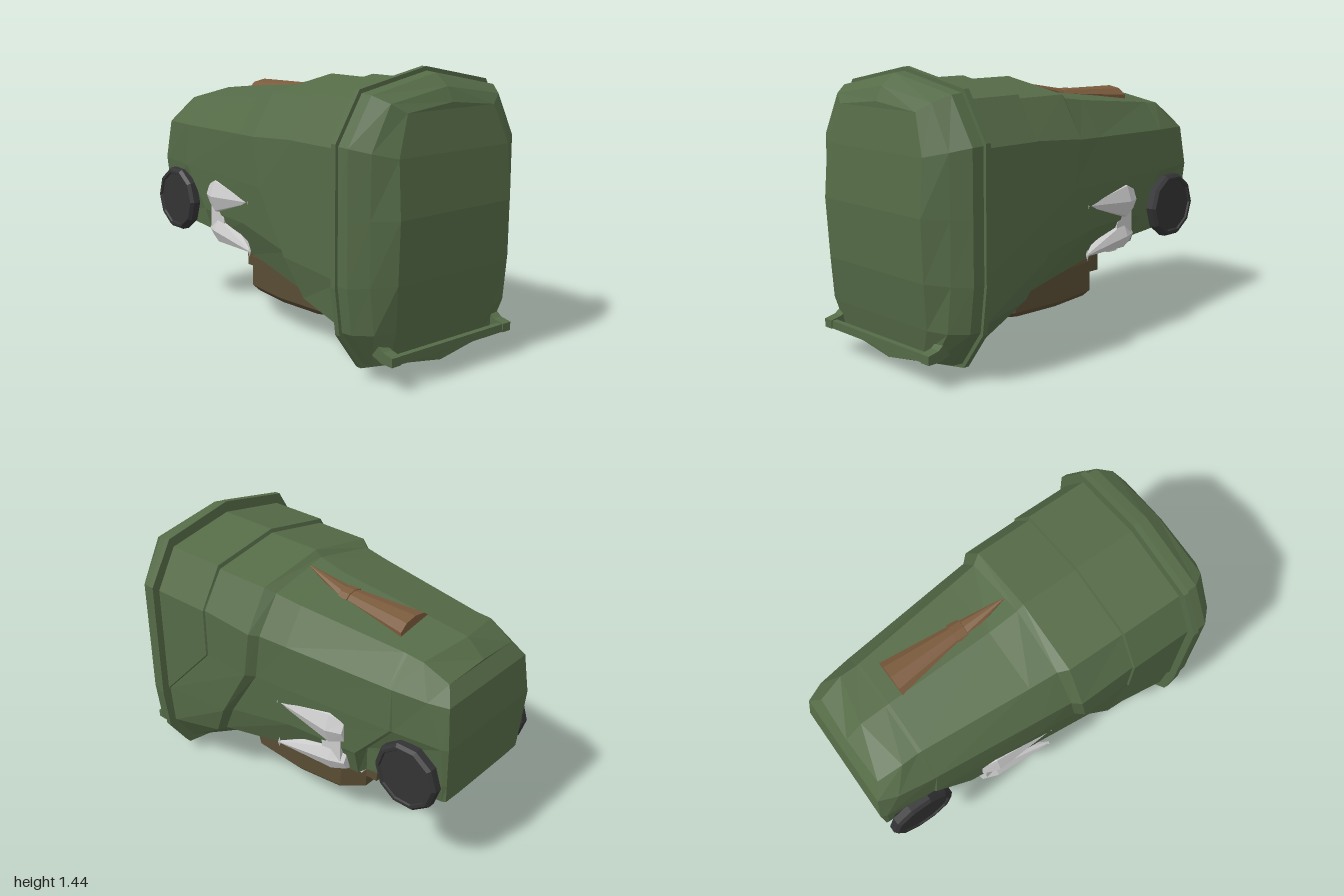
import * as THREE from 'three';

const mat = (color, side = THREE.FrontSide) =>
  new THREE.MeshStandardMaterial({ color, flatShading: true, side });
const GREEN = mat(0x556b47), DARK = mat(0x333335), BAG = mat(0x594c33);
const HORN = mat(0x7a5a3c), GREY = mat(0xcccccc), GOLD = mat(0xa8863c);

function add(parent, name, geometry, material, x = 0, y = 0, z = 0) {
  const mesh = new THREE.Mesh(geometry, material);
  mesh.name = name;
  mesh.position.set(x, y, z);
  parent.add(mesh);
  return mesh;
}

// Mirrors a half section (top centre, down the +x side, bottom centre) to a full ring
const ring = (half) => [...half, ...half.slice(1, -1).reverse().map(([x, y, z]) => [-x, y, z])];
// Flat half section from x,y pairs at one z
const flat = (z, pts) => pts.map(([x, y]) => [x, y, z]);
// Scales a flat half section about the middle of the lid
const resize = (half, s, z) => half.map(([x, y]) => [x * s, 0.72 + (y - 0.72) * s, z]);
// Oval ring, clockwise as seen from +z
const oval = (cx, cy, z, rx, ry, n = 8) => Array.from({ length: n }, (_, i) => {
  const a = (i / n) * Math.PI * 2;
  return [cx + Math.sin(a) * rx, cy + Math.cos(a) * ry, z];
});

// Skins closed rings listed from +z to -z; the ends are closed with strips across x
function loft(rings) {
  const n = rings[0].length, pos = [], idx = [];
  rings.forEach((r) => r.forEach((p) => pos.push(...p)));
  for (let k = 0; k < rings.length - 1; k++) {
    for (let i = 0; i < n; i++) {
      const j = (i + 1) % n, a = k * n, b = a + n;
      idx.push(a + i, a + j, b + i, a + j, b + j, b + i);
    }
  }
  const last = (rings.length - 1) * n;
  for (let i = 0; i < n / 2; i++) {
    const l = (n - i) % n, r2 = i + 1, l2 = n - i - 1;
    idx.push(i, l, r2, l, l2, r2);
    idx.push(last + i, last + r2, last + l, last + l, last + r2, last + l2);
  }
  const g = new THREE.BufferGeometry();
  g.setAttribute('position', new THREE.Float32BufferAttribute(pos, 3));
  g.setIndex(idx);
  const out = g.toNonIndexed();
  out.computeVertexNormals();
  return out;
}

function buildBody(group) {
  const mouth = flat(0.76, [[0, 1.38], [0.385, 1.31], [0.507, 1.1], [0.507, 0.84],
    [0.507, 0.49], [0.48, 0.27], [0.36, 0.1], [0, 0.06]]);
  // First step: collar that tapers away diagonally at the sides
  const collar = mouth.map(([x, y, z], i) => [x, y, i < 4 ? 0.415 : z - 0.005]);
  const collarIn = collar.map(([x, y, z], i) =>
    i < 5 ? [x * 0.98, y - (i < 2 ? 0.02 : 0), z - 0.005] : [x, y, z - 0.01]);
  // Second step: slanted shoulder
  const shoulder = [[0, 1.36, 0.1], [0.375, 1.29, 0.1], [0.5, 1.08, 0.1], [0.5, 0.83, 0.14],
    [0.49, 0.52, 0.33], [0.45, 0.33, 0.43], [0.3, 0.26, 0.41], [0, 0.25, 0.41]];
  const waist = [[0, 1.33, 0.065], [0.345, 1.265, 0.05], [0.462, 1.07, 0.06], [0.46, 0.82, 0.1],
    [0.455, 0.53, 0.29], [0.42, 0.35, 0.39], [0.3, 0.31, 0.37], [0, 0.3, 0.37]];
  const barrel = [[0, 1.292, -0.1], [0.33, 1.245, -0.1], [0.445, 1.065, -0.1], [0.445, 0.82, -0.1],
    [0.43, 0.6, -0.1], [0.36, 0.42, -0.1], [0.24, 0.4, -0.1], [0, 0.4, -0.1]];
  // Wheel arch edge and its recess
  const arch = [[0, 1.235, -0.68], [0.27, 1.19, -0.68], [0.38, 1.045, -0.68], [0.385, 0.82, -0.7],
    [0.395, 0.6, -0.5], [0.35, 0.45, -0.49], [0.22, 0.44, -0.49], [0, 0.44, -0.49]];
  const recess = [[0, 1.232, -0.7], [0.268, 1.187, -0.7], [0.378, 1.045, -0.7], [0.375, 0.815, -0.71],
    [0.32, 0.6, -0.52], [0.31, 0.46, -0.51], [0.2, 0.45, -0.51], [0, 0.45, -0.51]];
  const heel = [[0, 1.215, -0.84], [0.27, 1.18, -0.79], [0.35, 1.04, -0.88], [0.345, 0.82, -0.97],
    [0.32, 0.6, -0.97], [0.3, 0.49, -0.96], [0.2, 0.485, -0.96], [0, 0.485, -0.96]];
  const base = [[0, 1.13, -0.935], [0.25, 1.11, -0.925], [0.31, 1.03, -0.975], [0.33, 0.82, -1],
    [0.31, 0.6, -0.99], [0.3, 0.5, -0.985], [0.2, 0.495, -0.985], [0, 0.495, -0.985]];
  add(group, 'binBody', loft([mouth, collar, collarIn, shoulder, waist, barrel, arch,
    recess, heel, base].map(ring)), GREEN);
}

function buildLid(group) {
  const rim = flat(0.78, [[0, 1.44], [0.41, 1.36], [0.548, 1.13], [0.548, 0.8],
    [0.548, 0.48], [0.52, 0.25], [0.39, 0.065], [0, 0.005]]);
  const crown = [[0, 1.29, 0.95], [0.28, 1.26, 0.95], [0.355, 1.07, 0.98], [0.36, 0.8, 1],
    [0.355, 0.5, 0.985], [0.33, 0.27, 0.95], [0.27, 0.14, 0.92], [0, 0.085, 0.915]];
  const edge = resize(rim, 0.965, 0.84);
  const slope = edge.map(([x, y], i) => [
    x * 0.6 + crown[i][0] * 0.4, y * 0.55 + crown[i][1] * 0.45, 0.915]);
  add(group, 'lid', loft([crown, slope, edge, resize(rim, 0.972, 0.78)].map(ring)), GREEN);
  add(group, 'lidRim', loft([rim, resize(rim, 1, 0.75)].map(ring)), GREEN);

  // Lid handle: bar on two bent arms
  add(group, 'lidHandleBar', new THREE.BoxGeometry(0.74, 0.04, 0.03), GREEN, 0, 0.156, 0.98);
  const arm = new THREE.Shape([[1, 0.135], [1, 0.178], [0.94, 0.19], [0.89, 0.228], [0.86, 0.16],
    [0.93, 0.135]].map(([z, y]) => new THREE.Vector2(-z, y)));
  for (const x of [-0.4, 0.345]) {
    const g = new THREE.ExtrudeGeometry(arm, { depth: 0.055, bevelEnabled: false });
    add(group, 'lidHandleArm', g.rotateY(Math.PI / 2), GREEN, x, 0, 0);
  }
}

function buildWheels(group) {
  const profile = [[0, -0.035], [0.155, -0.035], [0.18, -0.02], [0.18, 0.018], [0.165, 0.035],
    [0.15, 0.035], [0.145, 0.026], [0, 0.026]].map(([r, y]) => new THREE.Vector2(r, y));
  for (const s of [-1, 1]) {
    const wheel = add(group, s > 0 ? 'leftWheel' : 'rightWheel',
      new THREE.LatheGeometry(profile, 10), DARK, s * 0.37, 0.61, -0.805);
    wheel.rotation.z = -s * Math.PI / 2;
  }
  const axle = add(group, 'axle', new THREE.CylinderGeometry(0.03, 0.03, 0.7, 8), DARK, 0, 0.61, -0.805);
  axle.rotation.z = Math.PI / 2;
}

// Pouch slung beneath the bin
function buildPouch(group) {
  const plan = [[0.16, 0.42], [0.25, 0.3], [0.27, 0], [0.24, -0.28], [0.15, -0.38]];
  const outline = [...plan, ...plan.map(([x, z]) => [-x, z]).reverse()];
  // Levels stacked along y, built along z and turned upright
  const level = (y, s) => outline.map(([x, z]) => [x * s, z * s, y]);
  const stack = (levels) => {
    const pos = [], idx = [], n = outline.length;
    levels.forEach(([y, s]) => level(y, s).forEach(([x, z, h]) => pos.push(x, h, z)));
    for (let k = 0; k < levels.length - 1; k++) {
      for (let i = 0; i < n; i++) {
        const a = k * n + i, b = k * n + ((i + 1) % n);
        idx.push(a, b, a + n, b, b + n, a + n);
      }
    }
    for (let i = 1; i < n - 1; i++) idx.push(0, i, i + 1);
    const g = new THREE.BufferGeometry();
    g.setAttribute('position', new THREE.Float32BufferAttribute(pos, 3));
    g.setIndex(idx);
    g.computeVertexNormals();
    return g;
  };
  add(group, 'pouch', stack([[0.16, 0.9], [0.19, 1], [0.35, 1], [0.43, 0.93]]),
    mat(0x594c33, THREE.DoubleSide));
  add(group, 'pouchFlap', new THREE.BoxGeometry(0.3, 0.15, 0.08), BAG, 0, 0.33, -0.41);
  add(group, 'pouchPocket', new THREE.CylinderGeometry(0.07, 0.06, 0.14, 8), BAG, 0, 0.33, -0.43);
  add(group, 'claspRing', new THREE.TorusGeometry(0.025, 0.008, 5, 8), GOLD, 0, 0.37, -0.505);
  const pin = add(group, 'claspPin', new THREE.CylinderGeometry(0.006, 0.006, 0.09, 5), GOLD, 0, 0.375, -0.51);
  pin.rotation.x = 0.6;
}

// Pairs of forward-pointing spikes on each flank
function buildSpikes(group) {
  for (const s of [-1, 1]) {
    for (const [y, tipY, r, cx] of [[0.7, 0.72, 0.115, 0.355], [0.51, 0.465, 0.09, 0.335]]) {
      const x = s * cx;
      add(group, 'sideSpike', loft([oval(s * 0.435, tipY, -0.03, 0.006, 0.006),
        oval(x, y, -0.36, 0.1, r), oval(x, y, -0.44, 0.07, r * 0.65)]), GREY);
      add(group, 'spikeTip', new THREE.OctahedronGeometry(0.025), GREY, s * 0.437, tipY, -0.03)
        .scale.set(0.4, 1.2, 0.35);
    }
    add(group, 'spikeRoot', new THREE.BoxGeometry(0.1, 0.2, 0.12), GREY, s * 0.36, 0.6, -0.36);
  }
  add(group, 'spikeBridge', new THREE.CylinderGeometry(0.07, 0.07, 0.56, 6), GREY, 0, 0.45, -0.42)
    .rotation.z = Math.PI / 2;
}

// Horn half sunk into the upper face
function buildHorn(group) {
  add(group, 'horn', loft([oval(0.095, 1.32, 0.05, 0.004, 0.004, 10), oval(0.098, 1.25, -0.18, 0.052, 0.036, 10),
    oval(0.098, 1.245, -0.181, 0.065, 0.042, 10), oval(0.098, 1.245, -0.24, 0.068, 0.042, 10),
    oval(0.098, 1.245, -0.241, 0.06, 0.038, 10), oval(0.09, 1.21, -0.605, 0.115, 0.067, 10)]), HORN);
}

export function createModel() {
  const group = new THREE.Group();
  group.name = 'wheeledBin';
  [buildBody, buildLid, buildWheels, buildPouch, buildSpikes, buildHorn].forEach((build) => build(group));
  return group;
}
